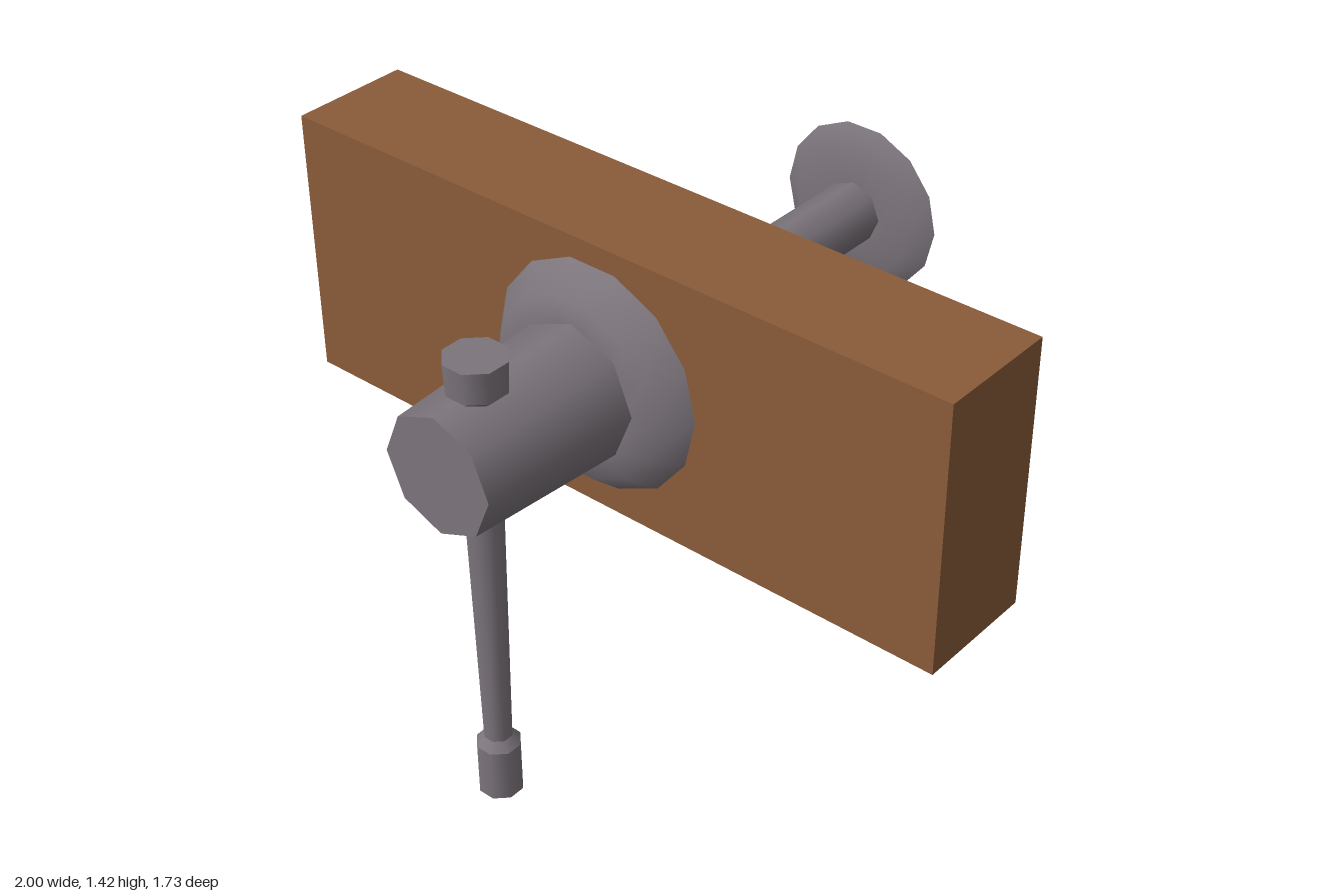
import * as THREE from 'three';

const AXIS_X = -0.015, AXIS_Y = 1.05;

export function createModel() {
  const group = new THREE.Group();
  const wood = new THREE.MeshStandardMaterial({ color: 0x8a5c3a });
  wood.name = 'brown wood';
  const metal = new THREE.MeshStandardMaterial({ color: 0x7c757c, side: THREE.DoubleSide });
  metal.name = 'grey metal';

  const add = (name, geometry, material, x, y, z) => {
    const mesh = new THREE.Mesh(geometry, material);
    mesh.name = name;
    mesh.position.set(x, y, z);
    group.add(mesh);
  };

  // Tapered tube running along z from z0 to z1
  const alongZ = (name, z0, z1, r0, r1, open) => {
    const g = new THREE.CylinderGeometry(r1, r0, z1 - z0, 8, 1, open).rotateX(Math.PI / 2);
    add(name, g, metal, AXIS_X, AXIS_Y, (z0 + z1) / 2);
  };

  // Softly shaded dish facing +z, wide rim at the back
  const dish = (name, z, rim, face, hole, depth) => {
    const profile = [[rim, 0], [face, depth], [hole, depth]].map(p => new THREE.Vector2(...p));
    const g = new THREE.LatheGeometry(profile, 14, Math.PI / 14).rotateX(Math.PI / 2);
    add(name, g, metal, AXIS_X, AXIS_Y, z);
  };

  // Upright piece of the lever from y0 to y1
  const upright = (name, y0, y1, r0, r1, open) => {
    const g = new THREE.CylinderGeometry(r1, r0, y1 - y0, 8, 1, open, Math.PI / 8);
    add(name, g, metal, AXIS_X, (y0 + y1) / 2, 0.723);
  };

  // Wooden board
  add('board', new THREE.BoxGeometry(2, 0.745, 0.338), wood, 0, 1.043, 0.161);

  // Tap body with its wall flange
  dish('flange', 0.33, 0.313, 0.245, 0.16, 0.078);
  alongZ('body', 0.33, 0.865, 0.189, 0.162, false);

  // Hollow pipe with a dished washer behind the board
  alongZ('pipe', -0.865, 0, 0.086, 0.086, true);
  dish('washer', -0.737, 0.241, 0.183, 0.08, 0.037);

  // Lever through the body: knob on top, thin shaft, thick grip
  upright('knob', 1.22, 1.305, 0.077, 0.081, false);
  upright('knobNeck', 1.195, 1.22, 0.045, 0.077, true);
  upright('leverShaft', 0.175, 1.195, 0.038, 0.056, true);
  upright('gripShoulder', 0.15, 0.175, 0.059, 0.038, true);
  upright('grip', 0, 0.15, 0.059, 0.059, false);

  return group;
}
